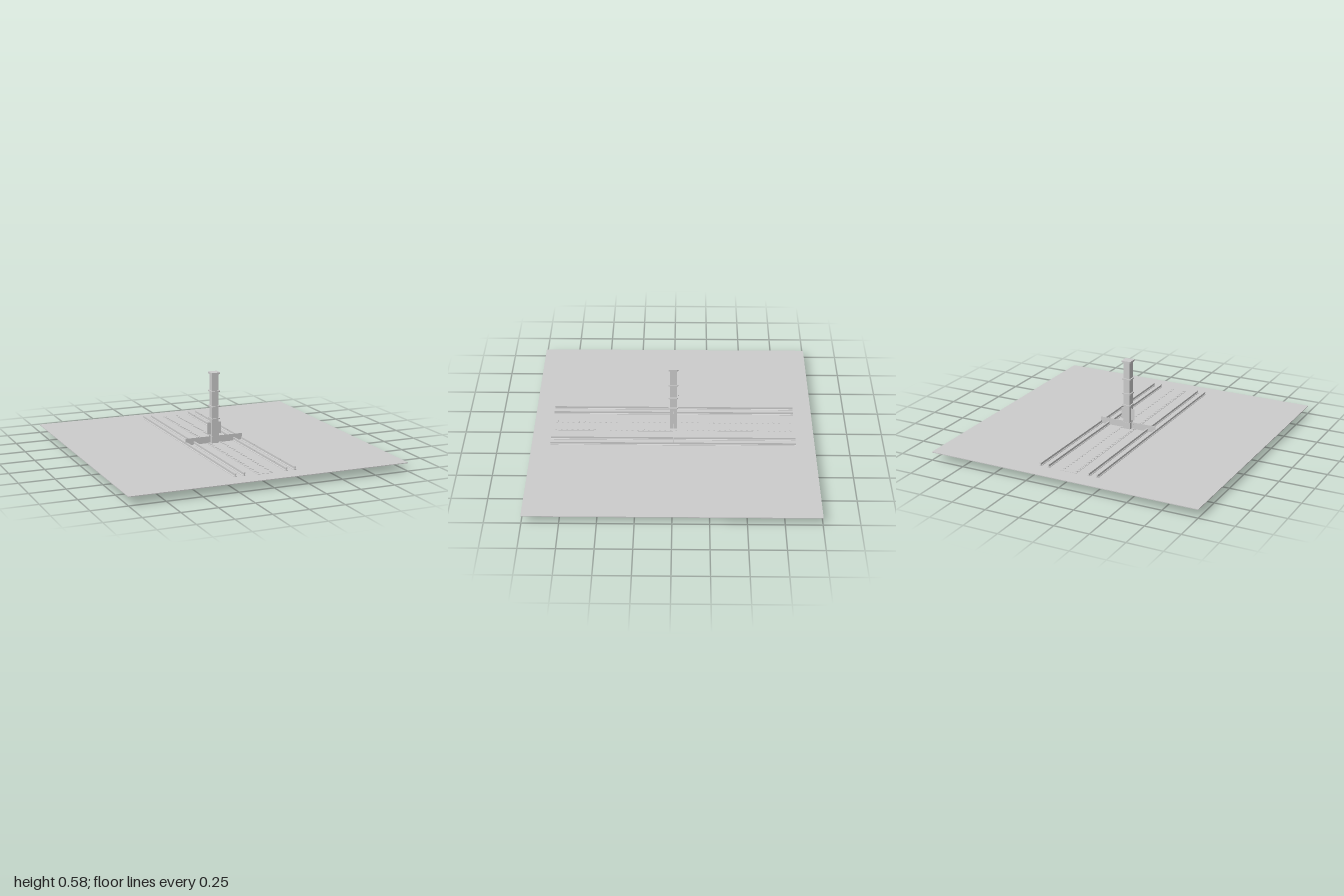
import * as THREE from 'three';

export function createModel() {
  const model = new THREE.Group();
  const grey = new THREE.MeshStandardMaterial({ color: 0xcccccc });
  grey.name = 'light grey';
  grey.side = THREE.DoubleSide;

  const add = (name, geo, x = 0, y = 0, z = 0) => {
    const m = new THREE.Mesh(geo, grey);
    m.name = name;
    m.position.set(x, y, z);
    model.add(m);
    return m;
  };
  // box given by its size and the height of its underside
  const box = (name, w, h, d, x, y, z) => add(name, new THREE.BoxGeometry(w, h, d), x, y + h / 2, z);

  // ground sheet and the shallow track bed below it
  box('ground', 2, 0.005, 2, 0, 0.056, 0);
  box('trackBed', 0.452, 0.024, 1.736, 0, 0.034, 0);

  // four rails: wide foot, thin web, narrower head
  const railShape = new THREE.Shape([
    [-0.008, 0], [0.008, 0], [0.008, 0.004], [0.003, 0.007], [0.003, 0.017],
    [0.006, 0.019], [0.006, 0.024], [-0.006, 0.024], [-0.006, 0.019],
    [-0.003, 0.017], [-0.003, 0.007], [-0.008, 0.004],
  ].map(([x, y]) => new THREE.Vector2(x, y)));
  const railGeo = new THREE.ExtrudeGeometry(railShape, { depth: 1.736, bevelEnabled: false });
  for (const x of [-0.215, -0.153, 0.153, 0.215]) add('rail', railGeo, x, 0.06, -0.868);

  // low centre strip with a rim and rows of small teeth
  box('centreStrip', 0.12, 0.002, 1.74, 0, 0.061, 0);
  for (const s of [-1, 1]) {
    for (let i = 0; i < 44; i++) {
      box('stripTooth', 0.014, 0.004, 0.012, s * 0.046, 0.063, -0.84 + i * 1.68 / 43);
    }
  }

  // square tower with chamfered collars and cap
  box('tower', 0.05, 0.505, 0.05, 0, 0.061, 0);
  const collar = (name, half, y, h) => {
    const c = 0.006, a = half, b = half - c;
    const shape = new THREE.Shape([
      [-b, -a], [b, -a], [a, -b], [a, b], [b, a], [-b, a], [-a, b], [-a, -b],
    ].map(([x, z]) => new THREE.Vector2(x, z)));
    const geo = new THREE.ExtrudeGeometry(shape, { depth: h, bevelEnabled: false });
    geo.rotateX(-Math.PI / 2);
    add(name, geo, 0, y, 0);
  };
  for (const y of [0.237, 0.325, 0.434]) collar('towerCollar', 0.034, y, 0.009);
  collar('towerCap', 0.035, 0.563, 0.012);
  box('towerFoot', 0.056, 0.05, 0.052, 0, 0.061, 0);

  // thin upright crossbar over the rails
  box('crossbar', 0.436, 0.049, 0.003, 0, 0.061, 0);

  // side fins with small braces beneath them
  for (const s of [-1, 1]) {
    box('sideFin', 0.028, 0.085, 0.003, s * 0.038, 0.127, 0);
    const brace = box('finBrace', 0.006, 0.05, 0.004, s * 0.036, 0.085, 0);
    brace.rotation.z = s * 0.2;
  }

  // sloping plate hanging under the bed
  const plate = box('underPlate', 0.08, 0.003, 0.07, 0, 0.0165, 0.04);
  plate.rotation.x = Math.atan2(0.033, 0.06);

  return model;
}
